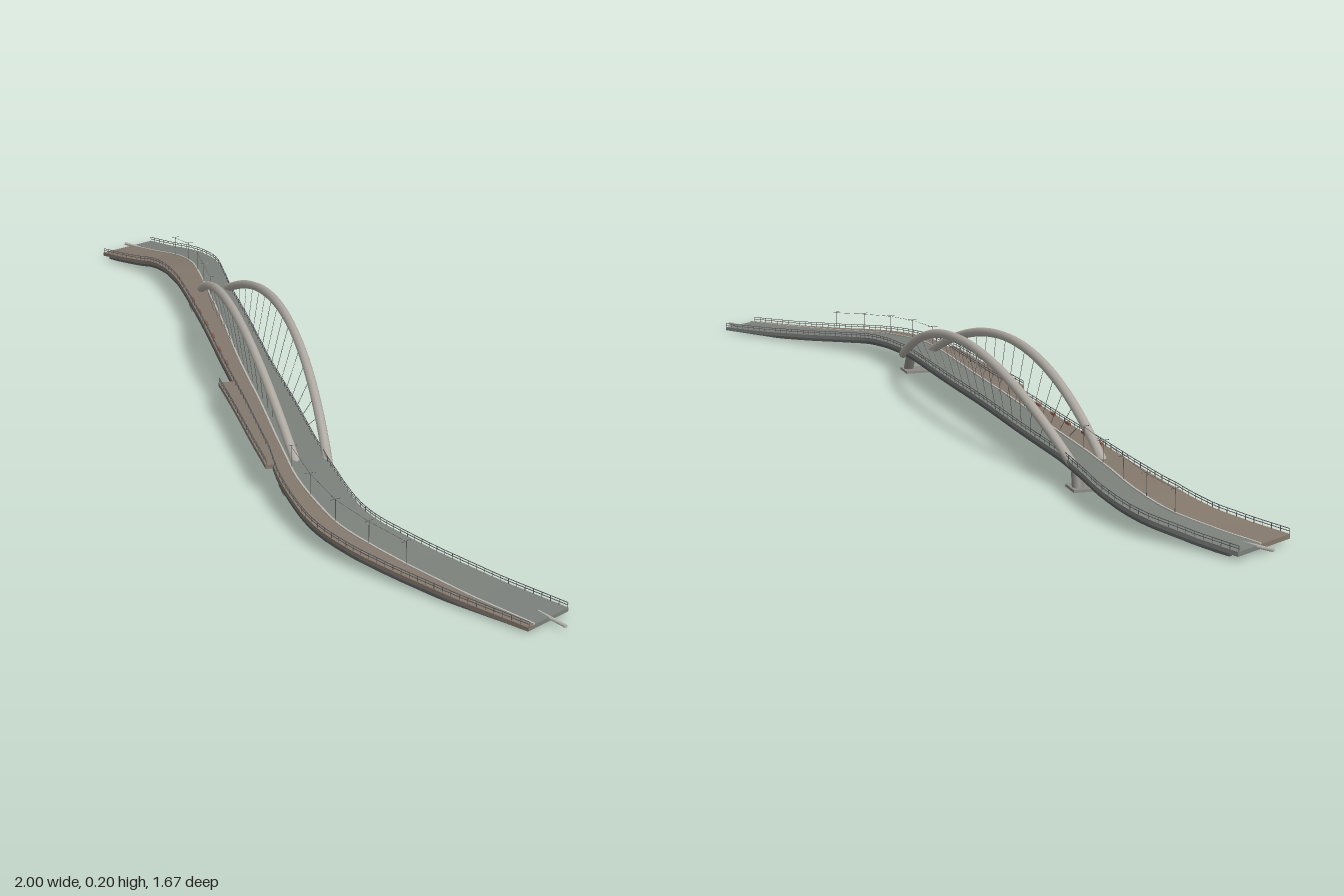
import * as THREE from 'three';
import { mergeGeometries, toCreasedNormals } from 'three/addons/utils/BufferGeometryUtils.js';

const mat = (color) => new THREE.MeshStandardMaterial({ color, side: THREE.DoubleSide });
const MAT = {
  road: mat(0x7b807b), path: mat(0x84786c), arch: mat(0xb0aca4), steel: mat(0x5c5e60),
  concrete: mat(0x8b8a86), bench: mat(0x8a5a48), line: mat(0xb9b8b0),
};

// Plan line between carriageway and footpath, in (x, z)
const plan = new THREE.CatmullRomCurve3([
  [-0.968, -0.77], [-0.86, -0.732], [-0.77, -0.697], [-0.68, -0.627], [-0.59, -0.523], [-0.505, -0.42],
  [-0.33, -0.21], [-0.16, 0], [0.01, 0.2], [0.18, 0.405], [0.29, 0.53], [0.39, 0.615],
  [0.46, 0.663], [0.55, 0.7], [0.74, 0.758], [0.947, 0.815],
].map(([x, z]) => new THREE.Vector3(x, 0, z)));
const X0 = -0.968, X1 = 0.947;

// Piecewise linear lookup by x
const table = (rows) => (x) => {
  if (x <= rows[0][0]) return rows[0][1];
  for (let i = 1; i < rows.length; i++) {
    const [a, va] = rows[i - 1], [b, vb] = rows[i];
    if (x <= b) return va + (vb - va) * (x - a) / (b - a);
  }
  return rows[rows.length - 1][1];
};
const deckY = table([[-0.97, 0.014], [-0.88, 0.022], [-0.78, 0.035], [-0.68, 0.049], [-0.58, 0.057],
  [-0.48, 0.06], [0.22, 0.06], [0.32, 0.054], [0.45, 0.042], [0.65, 0.024], [0.8, 0.014], [0.95, 0.009]]);
const roadW = table([[-0.97, 0.07], [-0.7, 0.068], [-0.5, 0.06], [-0.16, 0.07], [0.18, 0.08], [0.29, 0.086],
  [0.4, 0.078], [0.55, 0.085], [0.95, 0.1]]);
const pathW = table([[-0.97, 0.095], [-0.78, 0.093], [-0.68, 0.084], [-0.58, 0.064], [-0.5, 0.057],
  [-0.16, 0.04], [0.18, 0.03], [0.3, 0.038], [0.4, 0.046], [0.55, 0.046], [0.95, 0.017]]);

// Position and directions on the plan line at a given x
function frame(x) {
  let a = 0, b = 1;
  for (let i = 0; i < 22; i++) {
    const m = (a + b) / 2;
    if (plan.getPoint(m).x < x) a = m; else b = m;
  }
  const t = plan.getTangent(a);
  return { p: plan.getPoint(a), t, n: new THREE.Vector3(t.z, 0, -t.x).normalize() };
}
// Point at x, moved sideways by off and raised by h above the deck
function at(x, off = 0, h = 0) {
  const { p, n } = frame(x);
  return p.addScaledVector(n, off).setY(deckY(x) + h);
}

// Closed rectangular strip that follows the deck
function strip(x0, x1, lo, hi, bottom, top, steps = 90) {
  const pos = [], idx = [];
  for (let i = 0; i <= steps; i++) {
    const x = x0 + (x1 - x0) * i / steps, l = lo(x), h = hi(x);
    for (const [o, y] of [[l, bottom], [h, bottom], [h, top], [l, top]]) {
      const v = at(x, o, y);
      pos.push(v.x, Math.max(v.y, 0.001), v.z);
    }
    if (i < steps) for (let k = 0; k < 4; k++) {
      const a = i * 4 + k, b = i * 4 + (k + 1) % 4;
      idx.push(a, a + 4, b, b, a + 4, b + 4);
    }
  }
  const e = steps * 4;
  idx.push(0, 1, 2, 0, 2, 3, e, e + 2, e + 1, e, e + 3, e + 2);
  const g = new THREE.BufferGeometry();
  g.setAttribute('position', new THREE.Float32BufferAttribute(pos, 3));
  g.setIndex(idx);
  return toCreasedNormals(g, 0.6);
}

// Straight round bar between two points
function bar(a, b, r, sides = 5) {
  const d = b.clone().sub(a);
  const g = new THREE.CylinderGeometry(r, r, d.length(), sides);
  g.applyQuaternion(new THREE.Quaternion().setFromUnitVectors(new THREE.Vector3(0, 1, 0), d.normalize()));
  const m = a.clone().add(b).multiplyScalar(0.5);
  return g.translate(m.x, m.y, m.z);
}
// Box turned to the deck direction
function block(x, off, y, across, h, along) {
  const { t } = frame(x), p = at(x, off);
  return new THREE.BoxGeometry(across, h, along).rotateY(Math.atan2(t.x, t.z)).translate(p.x, y, p.z);
}

export function createModel() {
  const model = new THREE.Group();
  const add = (name, geo, material) => {
    const m = new THREE.Mesh(Array.isArray(geo) ? mergeGeometries(geo) : geo, material);
    m.name = name;
    model.add(m);
  };

  // Deck surfaces, kerb and viewing platform
  add('carriageway', strip(X0, X1, () => 0, roadW, -0.009, 0), MAT.road);
  add('footpath', strip(X0, X1, (x) => -pathW(x), () => 0, -0.009, 0), MAT.path);
  add('kerb', strip(X0, X1, () => -0.002, () => 0.002, -0.002, 0.003), MAT.line);
  const P0 = -0.085, P1 = 0.235;
  const platformEdge = table([[P0, -0.071], [P1, -0.05]]);
  add('viewingPlatform', strip(P0, P1, platformEdge, (x) => 0.002 - pathW(x), -0.009, 0, 24), MAT.path);

  // Long girders and cross beams under the deck
  const girders = [0.04, 0.35, 0.65, 0.96].map((f) => {
    const mid = (x) => -pathW(x) + f * (pathW(x) + roadW(x));
    return strip(X0 + 0.02, X1 - 0.02, (x) => mid(x) - 0.004, (x) => mid(x) + 0.004, -0.016, -0.008, 70);
  });
  add('girders', girders, MAT.steel);
  const beams = [];
  for (let x = -0.66; x < 0.45; x += 0.045) {
    const w = pathW(x) + roadW(x);
    beams.push(block(x, (roadW(x) - pathW(x)) / 2, deckY(x) - 0.012, w * 0.94, 0.006, 0.004));
  }
  add('crossBeams', beams, MAT.steel);

  // Railings along both edges and round the platform
  const rails = [], posts = [];
  const edges = [
    [X0, X1, 100, (x) => roadW(x) - 0.002],
    [X0, X1, 100, (x) => 0.002 - pathW(x)],
    [P0, P1, 20, (x) => platformEdge(x) + 0.002],
  ];
  for (const [from, to, count, edge] of edges) {
    for (const h of [0.006, 0.011]) {
      rails.push(strip(from, to, (x) => edge(x) - 0.0006, (x) => edge(x) + 0.0006, h - 0.0006, h + 0.0006, count));
    }
    for (let i = 0; i <= count; i++) {
      const x = from + (to - from) * i / count;
      posts.push(bar(at(x, edge(x)), at(x, edge(x), 0.011), 0.0007, 4));
    }
  }
  add('railings', rails, MAT.steel);
  add('railingPosts', posts, MAT.steel);

  // Pair of arches with hangers: two feet and a crown that leans outwards
  const V = (x, y, z) => new THREE.Vector3(x, y, z);
  const ribs = [
    [V(-0.548, 0.045, -0.45), V(0.25, 0.045, 0.458), V(-0.163, 0.188, 0.018)],
    [V(-0.497, 0.045, -0.488), V(0.302, 0.045, 0.42), V(-0.07, 0.188, -0.045)],
  ];
  const hangers = [];
  ribs.forEach(([a, b, crown], side) => {
    const lift = crown.clone().sub(a.clone().add(b).multiplyScalar(0.5));
    const point = (u) => a.clone().lerp(b, u).addScaledVector(lift, 1 - (2 * u - 1) ** 2);
    const path = new THREE.CatmullRomCurve3(Array.from({ length: 25 }, (_, i) => point(i / 24)));
    add(side ? 'outerArch' : 'innerArch', new THREE.TubeGeometry(path, 64, 0.0105, 8), MAT.arch);
    for (let i = 0; i < 15; i++) {
      const u = 0.12 + 0.76 * i / 14;
      const foot = a.clone().lerp(b, 0.5 + (u - 0.5) * 0.86).setY(0.058);
      hangers.push(bar(point(u), foot, 0.0006, 4));
    }
  });
  add('hangers', hangers, MAT.steel);

  // Piers: pad, pair of leaning legs and cap
  const pads = [], legs = [], caps = [];
  for (const [x, off, lean] of [[-0.535, 0.01, -0.01], [0.238, 0.032, 0.026]]) {
    const { t, n } = frame(x);
    const c = at(x, off).setY(0);
    pads.push(block(x, off, 0.003, 0.1, 0.006, 0.055));
    caps.push(block(x, off, 0.045, 0.095, 0.008, 0.03));
    for (const s of [-0.034, 0.034]) {
      const top = c.clone().addScaledVector(n, s).addScaledVector(t, -lean / 2).setY(0.046);
      const foot = c.clone().addScaledVector(n, s).addScaledVector(t, lean / 2).setY(0.003);
      legs.push(bar(foot, top, 0.012, 10));
    }
  }
  add('pierPads', pads, MAT.concrete);
  add('pierLegs', legs, MAT.concrete);
  add('pierCaps', caps, MAT.concrete);
  add('abutmentSlab', block(-0.52, 0.005, 0.038, 0.08, 0.008, 0.16), MAT.steel);

  // Lamp masts joined by a thin overhead wire on each approach
  const masts = [], wires = [];
  for (const [from, to] of [[-0.78, -0.48], [0.25, 0.64]]) {
    for (let i = 0; i <= 4; i++) {
      const x = from + (to - from) * i / 4, next = x + (to - from) / 4;
      masts.push(bar(at(x), at(x, 0, 0.05), 0.0007, 4));
      masts.push(bar(at(x, -0.012, 0.05), at(x, 0.012, 0.05), 0.0007, 4));
      if (i < 4) wires.push(bar(at(x, 0, 0.048), at(next, 0, 0.048), 0.0004, 4));
    }
  }
  add('lampMasts', masts, MAT.steel);
  add('overheadWires', wires, MAT.steel);

  // Benches on the footpath
  const benches = [];
  for (let x = -0.46; x < -0.12; x += 0.06) benches.push(block(x, 0.007 - pathW(x), deckY(x) + 0.003, 0.005, 0.005, 0.025));
  add('benches', benches, MAT.bench);

  // Guide rail stubs beyond both ends
  add('endRails', [
    bar(V(-0.998, 0.011, -0.788), V(-0.9, 0.014, -0.76), 0.004, 6),
    bar(V(0.93, 0.007, 0.758), V(0.998, 0.006, 0.787), 0.004, 6),
  ], MAT.line);
  return model;
}
